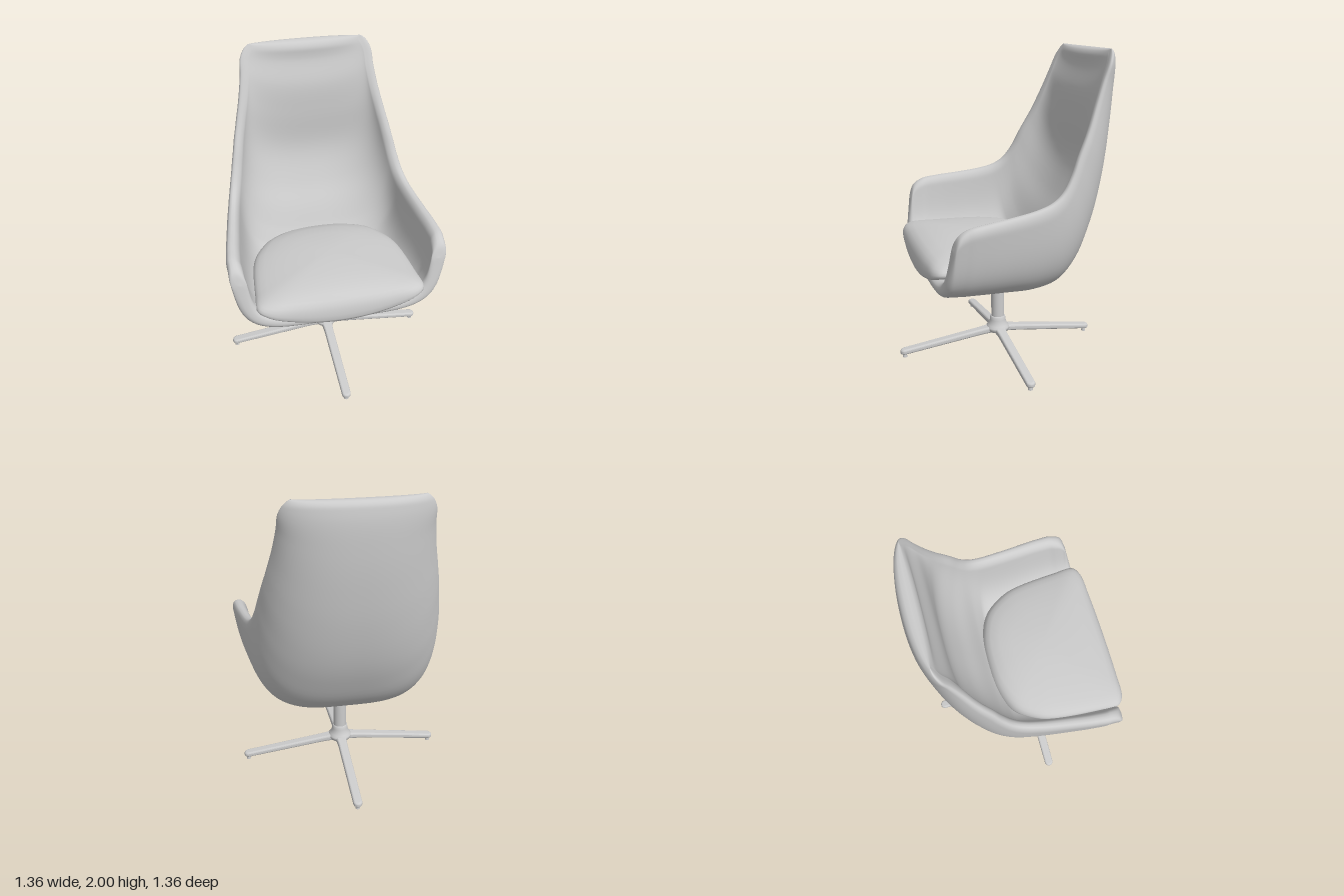
import * as THREE from 'three';
import { mergeVertices } from 'three/addons/utils/BufferGeometryUtils.js';

const grey = new THREE.MeshStandardMaterial({ color: 0xcccccc });
const V = (x, y, z) => new THREE.Vector3(x, y, z);

function mesh(name, geometry, parent) {
  const m = new THREE.Mesh(geometry, grey);
  m.name = name;
  parent.add(m);
  return m;
}

function indexed(positions, index) {
  const g = new THREE.BufferGeometry();
  g.setAttribute('position', new THREE.Float32BufferAttribute(positions, 3));
  g.setIndex(index);
  const merged = mergeVertices(g, 1e-5);
  merged.computeVertexNormals();
  return merged;
}

// Shell stations from front lip, under the seat, up to the head:
// spine z, spine y, rim z, rim y, half width, squareness, padding depth
const stations = [
  [0.52, 0.572, 0.462, 0.93, 0.665, 5.0, 0.08],
  [0.47, 0.565, 0.43, 1.01, 0.682, 5.0, 0.08],
  [0.40, 0.556, 0.37, 1.05, 0.684, 5.0, 0.08],
  [0.28, 0.545, 0.27, 1.068, 0.68, 4.8, 0.08],
  [0.10, 0.525, 0.12, 1.085, 0.66, 4.4, 0.09],
  [-0.10, 0.505, -0.05, 1.11, 0.635, 4.0, 0.11],
  [-0.27, 0.53, -0.15, 1.14, 0.615, 3.6, 0.145],
  [-0.40, 0.64, -0.22, 1.19, 0.595, 3.2, 0.175],
  [-0.50, 0.82, -0.28, 1.28, 0.57, 2.9, 0.18],
  [-0.57, 1.00, -0.33, 1.39, 0.545, 2.7, 0.155],
  [-0.63, 1.25, -0.40, 1.53, 0.51, 2.5, 0.13],
  [-0.665, 1.50, -0.465, 1.69, 0.47, 2.4, 0.16],
  [-0.68, 1.70, -0.515, 1.82, 0.445, 2.3, 0.165],
  [-0.68, 1.88, -0.56, 1.93, 0.428, 2.2, 0.12],
  [-0.66, 2.0, -0.59, 1.995, 0.385, 2.2, 0.10],
];

function shellGeometry() {
  const curve = (f) => new THREE.CatmullRomCurve3(stations.map(f));
  const spine = curve((s) => V(0, s[1], s[0]));
  const rim = curve((s) => V(0, s[3], s[2]));
  const size = curve((s) => V(s[4], s[5], s[6]));

  // Superelliptic half-hoop from a spine point, flaring out to the rim
  const hoop = (c, r, width, power, t) => {
    const a = t * Math.PI / 2, sn = Math.sin(a), cs = Math.max(0, Math.cos(a));
    const k = (Math.abs(sn) ** power + cs ** power) ** (-1 / power);
    const p = c.clone().lerp(r, 1 - cs * k);
    p.x = width * sn * k * (1 - 0.1 * cs * k);
    return p;
  };
  // Outer skin and padded inner skin at one place on the shell
  const skins = (u, t) => {
    const c = spine.getPoint(u), r = rim.getPoint(u), k = size.getPoint(u);
    const d = spine.getTangent(u);
    const pad = c.clone().addScaledVector(V(0, -d.z, d.y), k.z);
    return [hoop(c, r, k.x, k.y, t), hoop(pad, r, k.x - 0.095 + 0.045 * u, k.y, t)];
  };

  const NS = 88, NT = 76, row = NT + 1, count = (NS + 1) * row;
  const outer = [], inner = [], index = [];
  const round = (dist) => Math.sqrt(1 - (1 - Math.min(1, dist / 0.05)) ** 2);
  for (let i = 0; i <= NS; i++) {
    const a = i / NS, u = 0.3 * a + 0.7 * (0.5 - 0.5 * Math.cos(Math.PI * a));
    for (let j = 0; j <= NT; j++) {
      const b = 2 * j / NT - 1, t = 0.25 * b + 0.75 * Math.sin(b * Math.PI / 2);
      const [o, n] = skins(u, t);
      const mid = o.clone().lerp(n, 0.5);
      // Skins meet in a round edge along the whole rim
      const endDist = Math.min(o.distanceTo(skins(0, t)[0]), o.distanceTo(skins(1, t)[0]));
      const f = round((1 - Math.abs(t)) * 0.6) * round(endDist);
      outer.push(...mid.clone().lerp(o, f).toArray());
      inner.push(...mid.clone().lerp(n, f).toArray());
      if (i < NS && j < NT) {
        const A = i * row + j, B = A + row, C = A + 1, D = B + 1;
        index.push(A, B, C, C, B, D);
        index.push(A + count, C + count, B + count, C + count, D + count, B + count);
      }
    }
  }
  return indexed([...outer, ...inner], index);
}

// Domed seat pad: scaled copies of one plan outline
function cushionGeometry() {
  const half = [[0.3, 0.562], [0.47, 0.543], [0.525, 0.5], [0.522, 0.36], [0.49, 0.05],
    [0.45, -0.06], [0.36, -0.18], [0.2, -0.255]];
  const plan = [[0, 0.57], ...half, [0, -0.275], ...half.map(([x, z]) => [-x, z]).reverse()];
  const outline = new THREE.CatmullRomCurve3(plan.map(([x, z]) => V(x, 0, z)), true);
  const rings = [[0, 0], [0.6, 0], [0.93, 0], [0.985, 0.006], [1, 0.025], [1, 0.06], [0.985, 0.1],
    [0.96, 0.13], [0.92, 0.155], [0.85, 0.178], [0.7, 0.198], [0.5, 0.21], [0.25, 0.217], [0, 0.22]];
  const N = 96, zc = 0.12, positions = [], index = [];
  rings.forEach(([s, y], k) => {
    for (let i = 0; i < N; i++) {
      const p = outline.getPoint(i / N), x = p.x * s;
      const lift = 0.11 * (x / 0.53) ** 2 * (1 - 1.3 * y / 0.22);
      positions.push(x, 0.62 + y + lift, zc + (p.z - zc) * s);
      if (k < rings.length - 1) {
        const A = k * N + i, B = k * N + (i + 1) % N;
        index.push(A, B, A + N, B, B + N, A + N);
      }
    }
  });
  return indexed(positions, index);
}

// Leg: rounded plan bar, sloped down from hub to tip
function legGeometry() {
  const plan = new THREE.Shape();
  plan.moveTo(0.045, -0.028);
  plan.quadraticCurveTo(0.07, -0.02, 0.13, -0.018);
  plan.lineTo(0.645, -0.016);
  plan.absarc(0.645, 0, 0.016, -Math.PI / 2, Math.PI / 2);
  plan.lineTo(0.13, 0.018);
  plan.quadraticCurveTo(0.07, 0.02, 0.045, 0.028);
  plan.closePath();
  const g = new THREE.ExtrudeGeometry(plan, {
    depth: 0.01, bevelEnabled: true, bevelSize: 0.013, bevelThickness: 0.013, bevelSegments: 5, curveSegments: 12,
  });
  g.translate(0, 0, -0.005);
  g.rotateX(-Math.PI / 2);
  const p = g.attributes.position;
  for (let i = 0; i < p.count; i++) {
    const x = p.getX(i);
    p.setY(i, p.getY(i) * (1.2 - 0.35 * x) + 0.126 - 0.132 * x);
  }
  g.computeVertexNormals();
  return g;
}

const lathe = (pts) => new THREE.LatheGeometry(pts.map(([r, y]) => new THREE.Vector2(r, y)), 40);

export function createModel() {
  const model = new THREE.Group();
  model.name = 'swivelLoungeChair';
  mesh('shell', shellGeometry(), model);
  mesh('seatCushion', cushionGeometry(), model);

  // Mounting plate and column
  const plate = mesh('mountingPlate', new THREE.BoxGeometry(0.27, 0.015, 0.27), model);
  plate.position.set(0, 0.513, 0);
  plate.rotation.x = -0.08;
  mesh('upperColumn', lathe([[0.035, 0.40], [0.035, 0.475], [0.04, 0.492], [0.052, 0.503], [0.068, 0.51]]), model);
  mesh('lowerColumn', lathe([[0.044, 0.2], [0.044, 0.415], [0.042, 0.42], [0, 0.42]]), model);

  // Four-star base with a hollow hub
  const base = new THREE.Group();
  base.name = 'starBase';
  model.add(base);
  mesh('hub', lathe([[0.032, 0.19], [0.032, 0.1], [0.055, 0.098], [0.07, 0.105], [0.08, 0.122], [0.078, 0.134],
    [0.067, 0.147], [0.058, 0.165], [0.053, 0.185], [0.051, 0.205], [0.044, 0.212], [0.032, 0.212]]), base);
  const leg = legGeometry();
  const foot = new THREE.CylinderGeometry(0.012, 0.015, 0.03, 20);
  for (let i = 0; i < 4; i++) {
    const arm = new THREE.Group();
    arm.name = 'legAssembly';
    arm.rotation.y = i * Math.PI / 2;
    base.add(arm);
    mesh('leg', leg, arm);
    mesh('footGlide', foot, arm).position.set(0.645, 0.015, 0);
  }
  return model;
}
